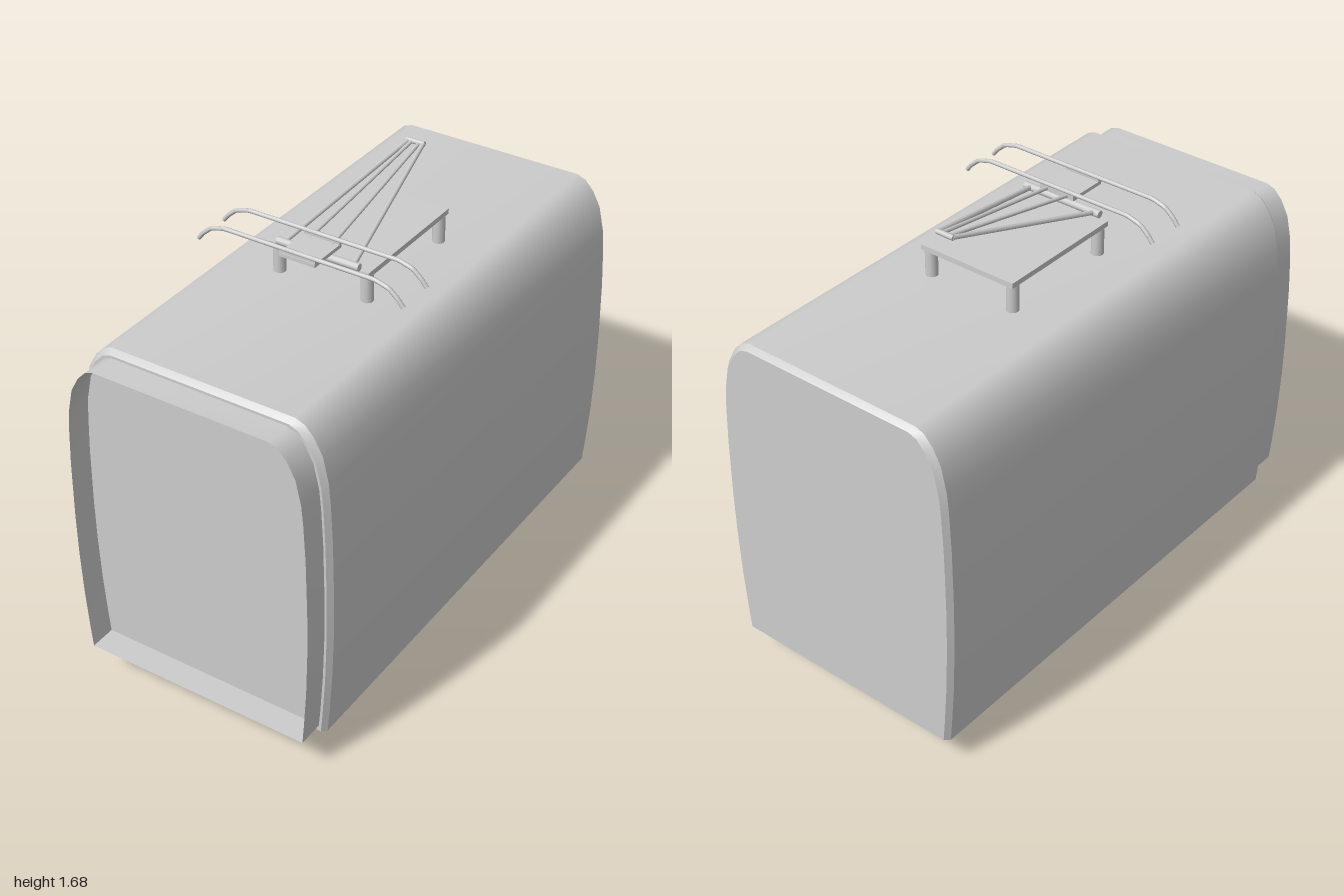
import * as THREE from 'three';
import { toCreasedNormals } from 'three/addons/utils/BufferGeometryUtils.js';

// right half of the carriage cross-section, from floor to roof
const HALF = [
  [0.47, 0.115], [0.478, 0.2], [0.49, 0.36], [0.498, 0.55], [0.5, 0.72], [0.497, 0.95],
  [0.49, 1.1], [0.483, 1.18], [0.462, 1.275], [0.43, 1.335], [0.395, 1.372], [0.36, 1.385],
];
const Y0 = 0.115, Y1 = 1.385;

// cross-section squeezed to a width factor and a height range
function section(sx, y0, y1) {
  const map = ([x, y]) => [x * sx, y0 + (y - Y0) * (y1 - y0) / (Y1 - Y0)];
  const right = HALF.map(map);
  return [...right, ...right.map(([x, y]) => [-x, y]).reverse()];
}

// skin joining closed cross-sections, listed front to back as [z, widthFactor, y0, y1]
function loft(rings) {
  const pos = [], index = [];
  const n = HALF.length * 2;
  for (const [z, sx, y0, y1] of rings) for (const [x, y] of section(sx, y0, y1)) pos.push(x, y, z);
  for (let r = 0; r < rings.length - 1; r++) {
    for (let i = 0; i < n; i++) {
      const a = r * n + i, b = r * n + (i + 1) % n;
      index.push(a, a + n, b, b, a + n, b + n);
    }
  }
  const g = new THREE.BufferGeometry();
  g.setAttribute('position', new THREE.Float32BufferAttribute(pos, 3));
  g.setIndex(index);
  return toCreasedNormals(g, 0.55);
}

export function createModel() {
  const model = new THREE.Group();
  const grey = new THREE.MeshStandardMaterial({ color: 0xcccccc, side: THREE.DoubleSide });
  grey.name = 'plain grey';

  function add(name, geometry, parent = model) {
    const mesh = new THREE.Mesh(geometry, grey);
    mesh.name = name;
    parent.add(mesh);
    return mesh;
  }
  // box given by its limits on each axis
  function box(name, [x0, x1], [y0, y1], [z0, z1], parent) {
    const m = add(name, new THREE.BoxGeometry(x1 - x0, y1 - y0, z1 - z0), parent);
    m.position.set((x0 + x1) / 2, (y0 + y1) / 2, (z0 + z1) / 2);
    return m;
  }
  // straight rod between two points
  function rod(name, from, to, radius, parent, sides = 8) {
    const a = new THREE.Vector3(...from), b = new THREE.Vector3(...to);
    const m = add(name, new THREE.CylinderGeometry(radius, radius, a.distanceTo(b), sides), parent);
    m.position.copy(a).add(b).multiplyScalar(0.5);
    m.quaternion.setFromUnitVectors(new THREE.Vector3(0, 1, 0), b.sub(a).normalize());
    return m;
  }

  // carriage body with bevelled ends
  const small = [0.972, 0.122, 1.37];
  add('bodySkin', loft([
    [0.9, ...small], [0.878, 1, Y0, Y1], [-0.978, 1, Y0, Y1], [-1, ...small],
  ]));
  const wall = new THREE.ShapeGeometry(
    new THREE.Shape(section(...small).map(([x, y]) => new THREE.Vector2(x, y))));
  add('frontWall', wall).position.z = 0.9;
  const back = add('backWall', wall);
  back.rotation.y = Math.PI;
  back.position.z = -1;

  // open gangway collar in front of the recessed wall
  add('gangwayCollar', loft([[1, 0.955, 0.145, 1.36], [0.9, 0.955, 0.145, 1.36]]));

  // wheels half sunk in the floor, with side rails
  for (const side of [-1, 1]) {
    for (const z of [0.327, -0.425]) {
      const wheel = add('wheel', toCreasedNormals(
        new THREE.CylinderGeometry(0.115, 0.115, 0.042, 8), 0.3));
      wheel.rotation.z = Math.PI / 2;
      wheel.position.set(side * 0.313, 0.115, z);
    }
    const rail = box('wheelRail', [-0.045, 0.045], [0.106, 0.16], [-0.52, 0.42]);
    rail.position.x = side * 0.335;
  }

  // roof current collector
  const collector = new THREE.Group();
  collector.name = 'currentCollector';
  model.add(collector);
  box('platform', [-0.2, 0.2], [1.488, 1.508], [-0.31, 0.21], collector);
  for (const x of [-0.178, 0.178]) {
    for (const z of [0.182, -0.282]) {
      rod('platformLeg', [x, 1.37, z], [x, 1.49, z], 0.023, collector, 12);
    }
  }
  rod('baseShaft', [-0.165, 1.521, 0.21], [0.165, 1.521, 0.21], 0.014, collector, 12);
  rod('topShaft', [-0.036, 1.668, -0.41], [0.036, 1.668, -0.41], 0.01, collector);
  for (const s of [-1, 1]) {
    rod('lowerArm', [s * 0.14, 1.521, 0.21], [s * 0.03, 1.668, -0.41], 0.009, collector);
    rod('upperArm', [s * 0.045, 1.56, 0.21], [s * 0.015, 1.668, -0.41], 0.007, collector);
  }
  box('headPlate', [-0.072, 0.072], [1.553, 1.567], [0.18, 0.338], collector);

  // bowed contact strips
  const bow = [[0.3, 1.58], [0.355, 1.565], [0.39, 1.535], [0.41, 1.51]];
  for (const z of [0.182, 0.328]) {
    const path = new THREE.CurvePath();
    const pts = [...bow.map(([x, y]) => [-x, y]).reverse(), ...bow]
      .map(([x, y]) => new THREE.Vector3(x, y, z));
    for (let i = 1; i < pts.length; i++) path.add(new THREE.LineCurve3(pts[i - 1], pts[i]));
    add('contactStrip', new THREE.TubeGeometry(path, 60, 0.008, 8), collector);
    box('stripMount', [-0.072, 0.072], [1.555, 1.585], [z - 0.006, z + 0.006], collector);
  }
  return model;
}
